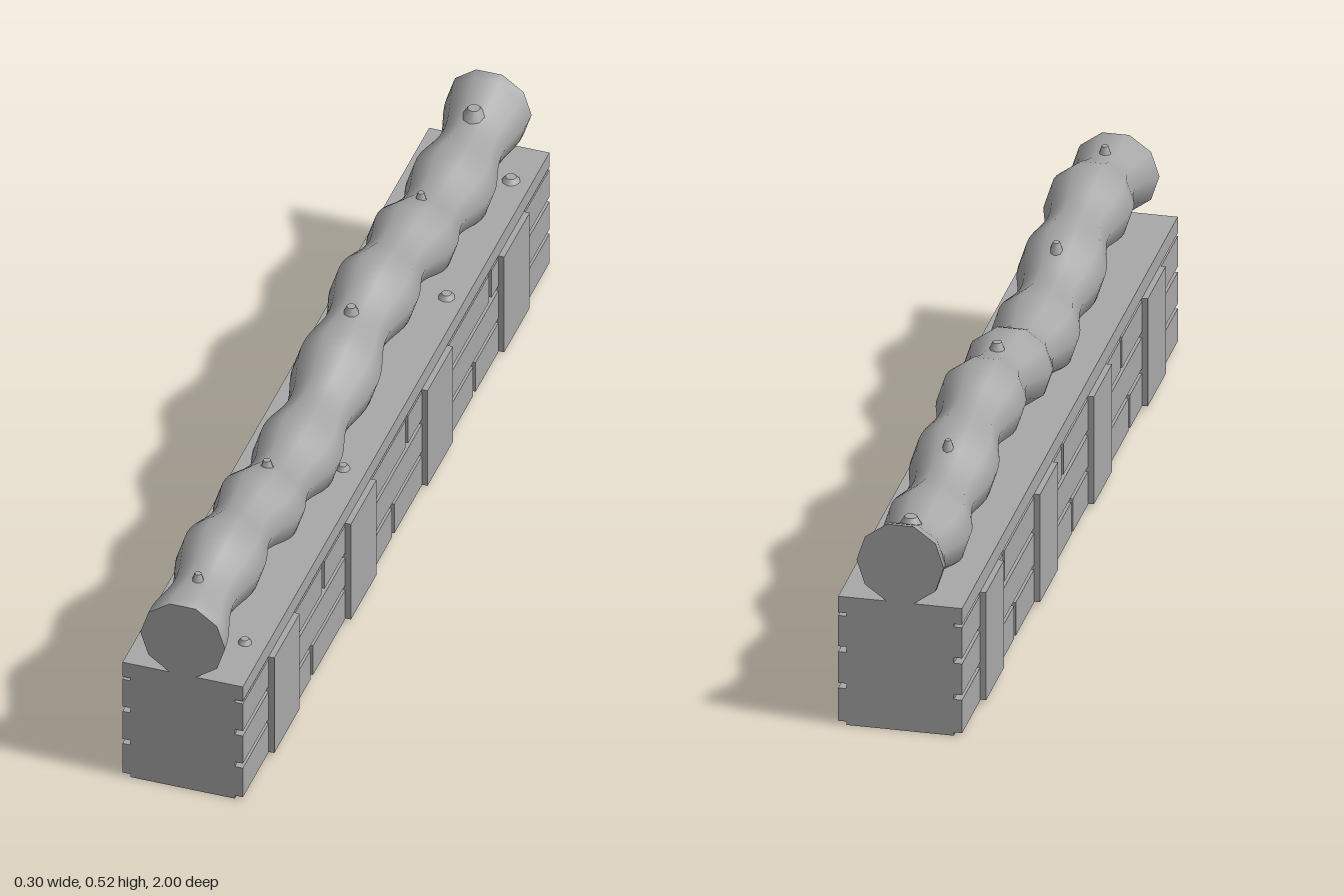
import * as THREE from 'three';
import { toCreasedNormals } from 'three/addons/utils/BufferGeometryUtils.js';

const stone = new THREE.MeshStandardMaterial({ color: 0xa8a8a8 });
stone.name = 'grey stone';

function add(parent, name, geometry, x = 0, y = 0, z = 0) {
  const mesh = new THREE.Mesh(geometry, stone);
  mesh.name = name;
  mesh.position.set(x, y, z);
  parent.add(mesh);
  return mesh;
}

// box given by its limits on each axis
function block(parent, name, x0, x1, y0, y1, z0, z1) {
  return add(parent, name, new THREE.BoxGeometry(x1 - x0, y1 - y0, z1 - z0),
    (x0 + x1) / 2, (y0 + y1) / 2, (z0 + z1) / 2);
}

// rail centre height and radius along z
const railY = z => 0.39 - 0.035 * Math.sin(2 * Math.PI * z);
const railR = z => 0.083 + 0.012 * Math.cos(8 * Math.PI * z);

function railGeometry() {
  const g = new THREE.CylinderGeometry(1, 1, 2, 10, 96);
  g.rotateY(Math.PI / 2);
  g.rotateX(Math.PI / 2);
  const p = g.attributes.position;
  for (let i = 0; i < p.count; i++) {
    const z = p.getZ(i), r = railR(z);
    p.setXYZ(i, p.getX(i) * r, railY(z) + p.getY(i) * r, z);
  }
  return toCreasedNormals(g, 0.95);
}

export function createModel() {
  const group = new THREE.Group();
  group.name = 'wallWithRail';

  // wall core and cap
  block(group, 'wallCore', -0.117, 0.117, 0, 0.28, -1, 1);
  block(group, 'wallCap', -0.135, 0.135, 0.262, 0.3, -1, 1);

  // brick rows with their vertical joints
  const rows = [
    { y0: 0.008, y1: 0.085, joints: [-0.51, 0.02, 0.55] },
    { y0: 0.097, y1: 0.17, joints: [-0.75, -0.25, 0.25, 0.75] },
    { y0: 0.183, y1: 0.255, joints: [-0.615, -0.07, 0.475] },
  ];
  for (const side of [-1, 1]) {
    const [x0, x1] = side > 0 ? [0.11, 0.135] : [-0.135, -0.11];
    for (const { y0, y1, joints } of rows) {
      const ends = [-1, ...joints, 1];
      for (let i = 0; i < ends.length - 1; i++) {
        const a = i === 0 ? -1 : ends[i] + 0.008;
        const b = i === ends.length - 2 ? 1 : ends[i + 1] - 0.008;
        block(group, 'brick', x0, x1, y0, y1, a, b);
      }
    }
    // pilasters
    for (const z of [-0.75, -0.25, 0.25, 0.75]) {
      const [p0, p1] = side > 0 ? [0.11, 0.148] : [-0.148, -0.11];
      block(group, 'pilaster', p0, p1, 0.01, 0.262, z - 0.083, z + 0.083);
    }
  }

  // wavy rail on top
  add(group, 'wavyRail', railGeometry());

  // small knobs on the rail and pebbles on the wall cap
  const knob = new THREE.CylinderGeometry(0.5, 1, 1, 8);
  for (const [z, r] of [[-0.9, 0.028], [-0.555, 0.014], [-0.1, 0.02], [0.45, 0.016], [0.9, 0.015]]) {
    const top = railY(z) + railR(z) * Math.sin(0.4 * Math.PI);
    add(group, 'railKnob', knob, 0, top + 0.005, z).scale.set(r, 0.025, r);
  }
  for (const [x, z, r] of [[0.09, -0.88, 0.024], [0.095, -0.445, 0.022], [0.085, 0.2, 0.018], [0.088, 0.85, 0.018]]) {
    add(group, 'capPebble', knob, x, 0.303, z).scale.set(r, 0.016, r);
  }
  return group;
}
